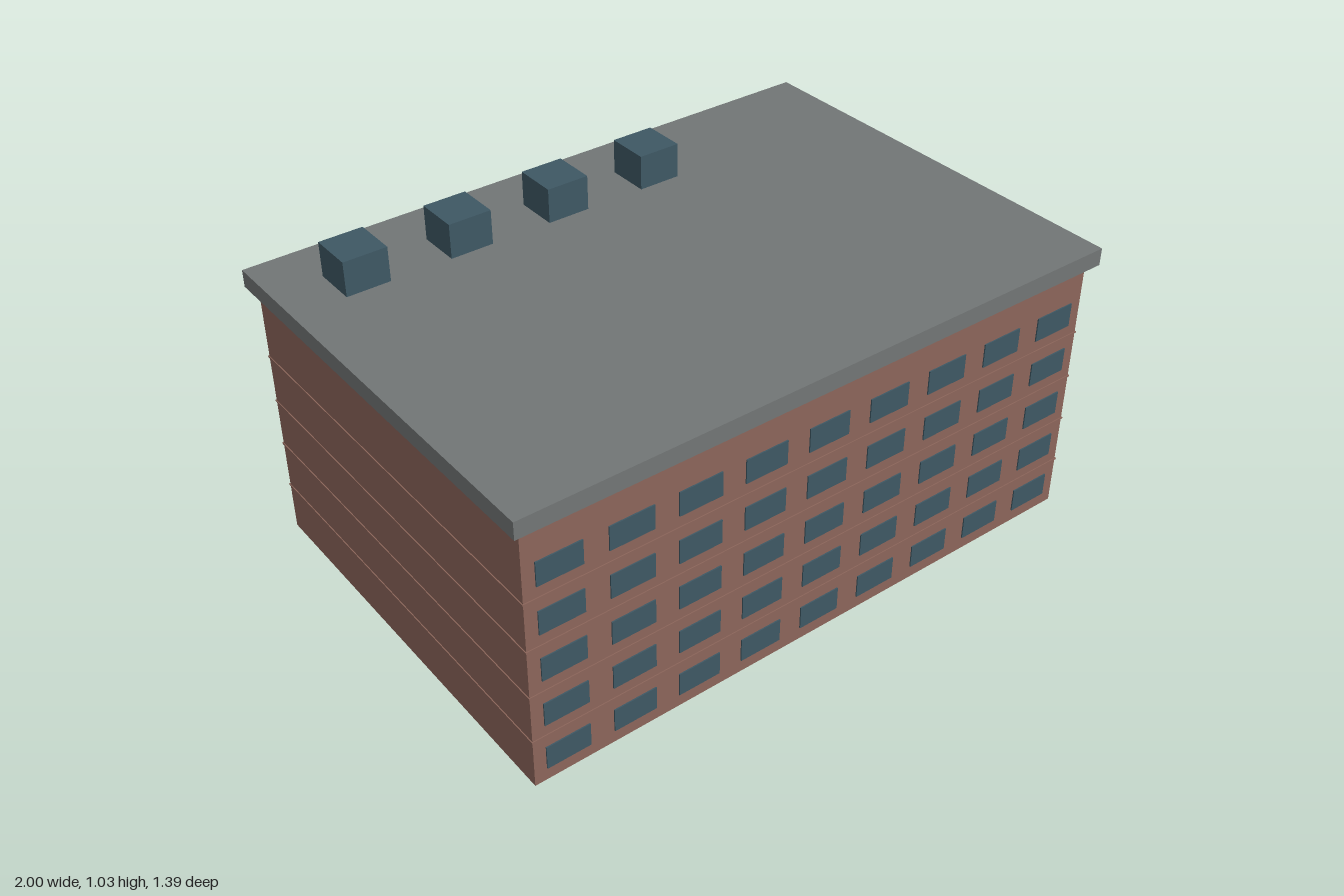
import * as THREE from 'three';

const brick = new THREE.MeshStandardMaterial({ color: 0x8d665b });
const slab = new THREE.MeshStandardMaterial({ color: 0x737777 });
const glass = new THREE.MeshStandardMaterial({ color: 0x3f5965 });

export function createModel() {
  const building = new THREE.Group();
  building.name = 'apartmentBlock';

  // Adds a box whose base centre sits at (x, y, z)
  const addBox = (parent, name, material, [w, h, d], [x, y, z]) => {
    const mesh = new THREE.Mesh(new THREE.BoxGeometry(w, h, d), material);
    mesh.position.set(x, y + h / 2, z);
    mesh.name = name;
    parent.add(mesh);
  };
  const addGroup = (name) => {
    const group = new THREE.Group();
    group.name = name;
    building.add(group);
    return group;
  };

  const floors = 5, columns = 9, storey = 0.157;
  const wallDepth = 1.33;

  // Brick walls and overhanging flat roof
  addBox(building, 'walls', brick, [1.944, 0.865, wallDepth], [0, 0, 0]);
  addBox(building, 'roofSlab', slab, [2, 0.055, 1.386], [0, 0.865, 0]);

  // Thin string courses between the storeys
  const courses = addGroup('floorBands');
  for (let i = 1; i < floors; i++) {
    addBox(courses, 'floorBand', brick, [1.95, 0.005, wallDepth + 0.006], [0, i * storey + 0.001, 0]);
  }

  // Window grids on the front and back walls
  for (const side of [1, -1]) {
    const windows = addGroup(side > 0 ? 'frontWindows' : 'backWindows');
    for (let row = 0; row < floors; row++) {
      for (let col = 0; col < columns; col++) {
        const x = (col - (columns - 1) / 2) * 0.216;
        addBox(windows, 'window', glass, [0.139, 0.077, 0.008],
          [x, 0.042 + row * storey, side * wallDepth / 2]);
      }
    }
  }

  // Row of rooftop units along the back
  const units = addGroup('rooftopUnits');
  for (let i = 0; i < 4; i++) {
    addBox(units, 'rooftopUnit', glass, [0.138, 0.11, 0.138], [-0.767 + i * 0.3335, 0.92, -0.457]);
  }

  return building;
}
